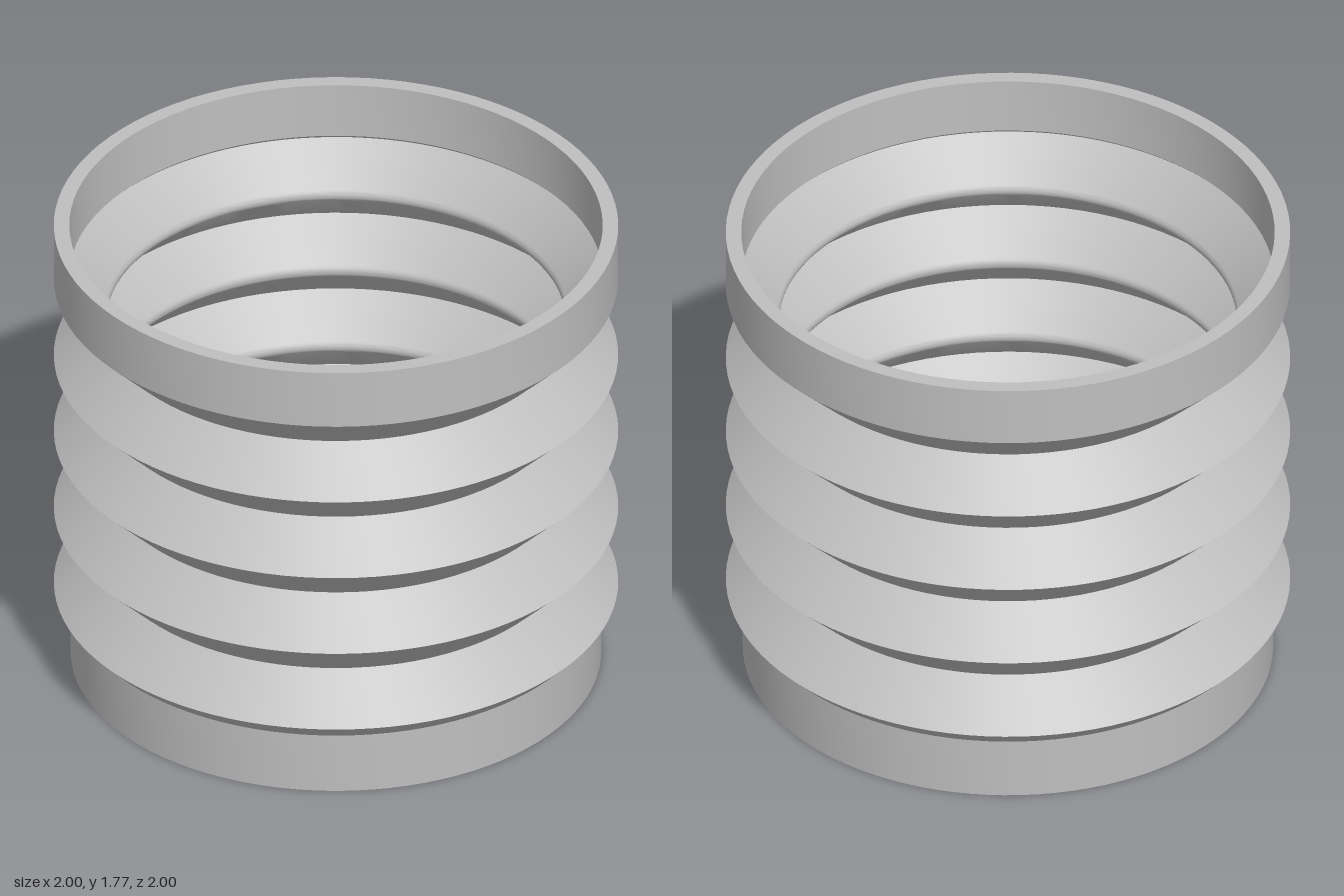
import * as THREE from 'three';
import { toCreasedNormals } from 'three/addons/utils/BufferGeometryUtils.js';

const PEAK = 1, VALLEY = 0.84;     // outer radii of the folds
const FIRST = 0.292, PITCH = 0.315; // height of the lowest peak, fold spacing
const FOLDS = 4, WALL = 0.03;
const TOP = 1.775;

export function createModel() {
  const model = new THREE.Group();
  const rubber = new THREE.MeshStandardMaterial({ color: 0xbfbfbf });
  rubber.name = 'grey rubber';

  const points = [];
  const add = (r, y) => points.push(new THREE.Vector2(r, y));
  const peakY = (i) => FIRST + i * PITCH;
  const innerPeak = PEAK - WALL * Math.SQRT2;

  // Outside, going up: lower collar, folds, upper collar
  add(0.94, 0);
  add(0.94, 0.23);
  for (let i = 0; i < FOLDS; i++) {
    add(PEAK, peakY(i));
    add(VALLEY, peakY(i) + PITCH / 2);
  }
  add(PEAK, peakY(FOLDS));
  add(PEAK, TOP);

  // Inside, going down: upper collar with its small groove
  add(0.945, TOP);
  add(0.945, peakY(FOLDS) + innerPeak - 0.945);
  add(innerPeak, peakY(FOLDS));

  // Inner folds with rounded ridges
  for (let i = FOLDS - 1; i >= 0; i--) {
    for (let k = 0; k <= 6; k++) {
      const a = Math.PI * (0.75 + k / 12);
      add(VALLEY + WALL * Math.cos(a), peakY(i) + PITCH / 2 + WALL * Math.sin(a));
    }
    add(innerPeak, peakY(i));
  }

  // Lower collar bore and bottom rim
  add(0.89, FIRST - (innerPeak - 0.89));
  add(0.89, 0);
  add(0.94, 0);

  const sleeve = new THREE.Mesh(toCreasedNormals(new THREE.LatheGeometry(points, 96), 0.5), rubber);
  sleeve.name = 'bellowsSleeve';
  model.add(sleeve);
  return model;
}
